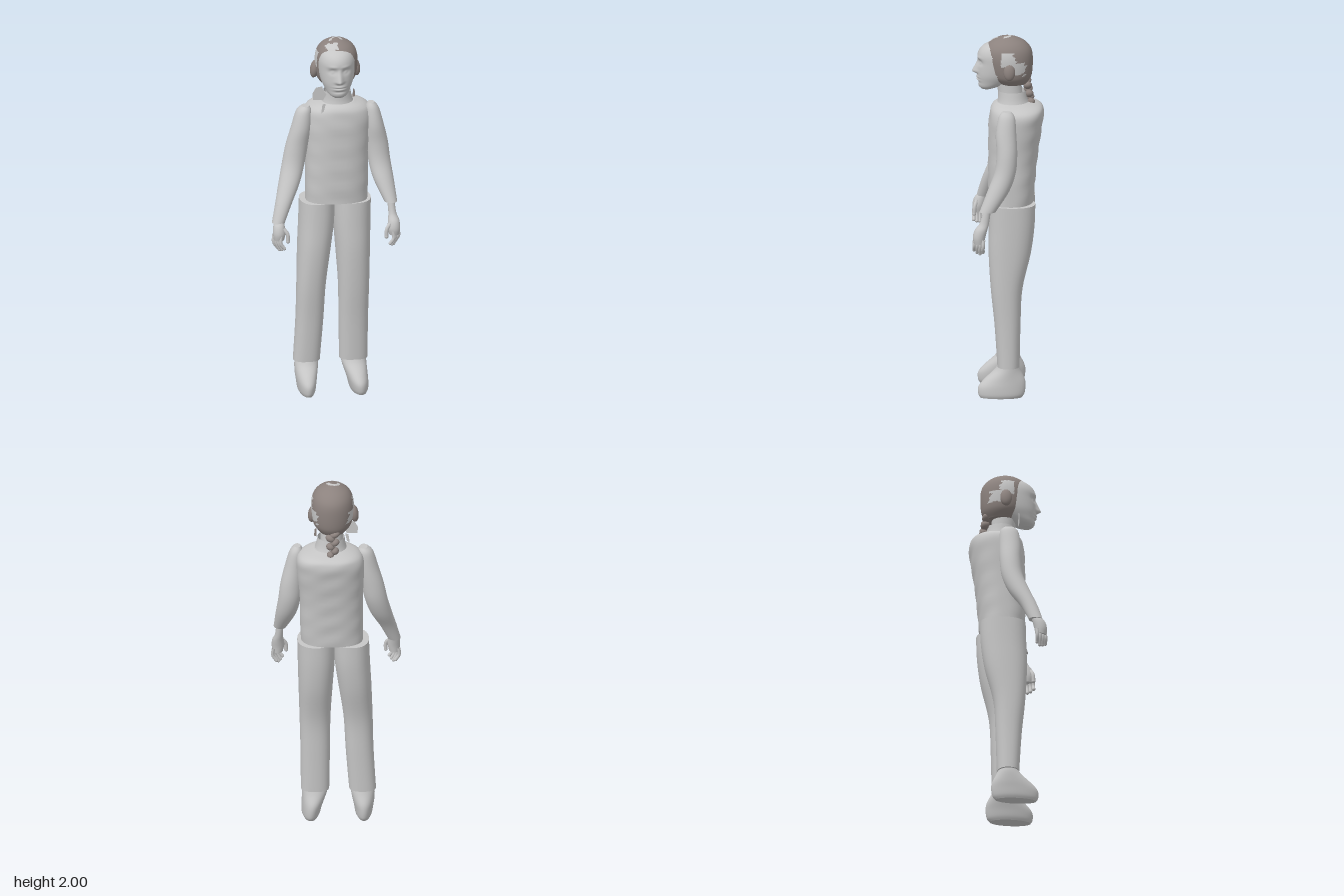
import * as THREE from 'three';

const grey = new THREE.MeshStandardMaterial({ color: 0xc6c6c6, side: THREE.DoubleSide });
grey.name = 'light grey';
const brown = new THREE.MeshStandardMaterial({ color: 0x8c827e, side: THREE.DoubleSide });
brown.name = 'hair brown';

const bell = (d, w) => Math.exp(-(d * d) / (w * w));

function spline(p0, p1, p2, p3, t) {
  const a = (p2 - p0) / 2, b = (p3 - p1) / 2, d = p1 - p2;
  return (2 * d + a + b) * t ** 3 + (-3 * d - 2 * a - b) * t * t + a * t + p1;
}

// Smooth skin through level sections [y, xMin, xMax, zFront, zBack], lowest first
function loft(sections, { n = 32, steps = 5, power = 2, caps = true, bend = null } = {}) {
  const rings = [], last = sections.length - 1;
  for (let i = 0; i < last; i++) {
    const q = [i - 1, i, i + 1, i + 2].map(k => sections[Math.min(last, Math.max(0, k))]);
    for (let s = 0; s < steps; s++)
      rings.push(q[0].map((_, c) => spline(q[0][c], q[1][c], q[2][c], q[3][c], s / steps)));
  }
  rings.push(sections[last]);
  const pos = [], index = [];
  const addRing = ([y, x0, x1, z0, z1]) => {
    for (let j = 0; j < n; j++) {
      const t = (j / n) * Math.PI * 2, c = Math.cos(t), s = Math.sin(t);
      const v = new THREE.Vector3(
        (x0 + x1) / 2 + (x1 - x0) / 2 * Math.sign(c) * Math.abs(c) ** (2 / power), y,
        (z0 + z1) / 2 + (z0 - z1) / 2 * Math.sign(s) * Math.abs(s) ** (2 / power));
      if (bend) bend(v);
      pos.push(v.x, v.y, v.z);
    }
  };
  rings.forEach(addRing);
  for (let i = 0; i < rings.length - 1; i++) for (let j = 0; j < n; j++) {
    const a = i * n + j, b = i * n + (j + 1) % n;
    index.push(a, a + n, b, b, a + n, b + n);
  }
  if (caps) [rings[0], rings[rings.length - 1]].forEach((r, top) => {
    const base = pos.length / 3;
    addRing(r);
    pos.push((r[1] + r[2]) / 2, r[0], (r[3] + r[4]) / 2);
    for (let j = 0; j < n; j++) {
      const a = base + j, b = base + (j + 1) % n;
      index.push(base + n, top ? b : a, top ? a : b);
    }
  });
  const g = new THREE.BufferGeometry();
  g.setAttribute('position', new THREE.Float32BufferAttribute(pos, 3));
  g.setIndex(index);
  g.computeVertexNormals();
  return g;
}

export function createModel() {
  const model = new THREE.Group();
  const add = (name, geo, mat = grey, parent = model) => {
    const m = new THREE.Mesh(geo, mat);
    m.name = name;
    parent.add(m);
    return m;
  };
  const ball = (name, mat, p, r, parent = model) => {
    const m = add(name, new THREE.SphereGeometry(1, 20, 14), mat, parent);
    m.position.set(...p);
    m.scale.set(...r);
    return m;
  };

  // Shirt body with faint folds, collar and neck
  add('shirt', loft([
    [1.08, -.145, .19, .1, -.14], [1.2, -.145, .195, .104, -.15], [1.35, -.145, .197, .104, -.165],
    [1.5, -.15, .212, .102, -.187], [1.58, -.145, .212, .095, -.195], [1.615, -.115, .18, .08, -.178],
    [1.635, -.055, .12, .055, -.11]],
  { n: 48, power: 2.4, bend: v => { v.z += .0025 * Math.sin(v.y * 55 + v.x * 14) * Math.sin(v.x * 18 + 1); } }));
  add('collar', loft([[1.61, -.065, .125, .062, -.125], [1.65, -.052, .11, .052, -.108],
    [1.695, -.045, .1, .05, -.1]], { caps: false }));
  add('neck', loft([[1.6, -.04, .095, .045, -.09], [1.68, -.036, .085, .05, -.08], [1.8, -.045, .085, .07, -.07]]));

  // Sleeves
  add('leftSleeve', loft([
    [1.09, .265, .335, .152, .065], [1.2, .215, .325, .108, -.01], [1.3, .192, .312, .07, -.045],
    [1.4, .183, .3, .06, -.052], [1.5, .178, .277, .064, -.047], [1.59, .178, .252, .05, -.04],
    [1.625, .19, .228, .03, -.02]]));
  add('rightSleeve', loft([
    [1.005, -.35, -.28, .165, .09], [1.1, -.327, -.237, .14, .05], [1.2, -.302, -.187, .105, -.01],
    [1.3, -.278, -.155, .07, -.045], [1.4, -.257, -.135, .06, -.055], [1.5, -.228, -.117, .062, -.055],
    [1.59, -.2, -.115, .05, -.05], [1.62, -.17, -.128, .03, -.03]]));

  // Hands: palm, four fingers and a thumb, mirrored
  for (const [name, side, shift] of [['leftHand', 1, 0], ['rightHand', -1, -.003]]) {
    const hand = new THREE.Group();
    hand.name = name;
    hand.scale.x = side;
    hand.position.x = shift;
    model.add(hand);
    add('palm', loft([
      [.915, .285, .34, .182, .125], [.95, .277, .345, .188, .12], [.99, .28, .342, .178, .11],
      [1.03, .285, .328, .15, .1], [1.1, .28, .32, .13, .09]], { n: 20 }), grey, hand);
    const finger = (n, pts, r) => {
      const curve = new THREE.CatmullRomCurve3(pts.map(p => new THREE.Vector3(...p)));
      add(n, new THREE.TubeGeometry(curve, 8, r, 8), grey, hand);
      ball(n + 'Tip', grey, pts[pts.length - 1], [r, r, r], hand);
    };
    for (let i = 0; i < 4; i++) {
      const x = .336 - i * .011, z = .13 + i * .016;
      finger('finger', [[x, .94, z], [x + .003, .9, z + .003], [x - .016, [.868, .858, .862, .872][i], z + .003]], .0095);
    }
    finger('thumb', [[.29, .98, .165], [.269, .95, .175], [.267, .91, .178]], .0105);
  }

  // Trousers and feet
  add('leftTrouserLeg', loft([
    [.17, .037, .19, .055, -.065], [.4, .033, .192, .07, -.07], [.6, .03, .197, .09, -.08],
    [.8, .018, .203, .102, -.125], [.95, .008, .207, .1, -.145], [1.08, .008, .21, .097, -.15]], { power: 2.3 }));
  add('rightTrouserLeg', loft([
    [.17, -.215, -.07, .055, -.065], [.4, -.202, -.052, .07, -.07], [.6, -.197, -.04, .09, -.08],
    [.8, -.19, -.012, .102, -.125], [.95, -.182, .008, .1, -.145], [1.08, -.177, .012, .097, -.15]], { power: 2.3 }));
  add('leftFoot', loft([
    [0, .095, .178, .148, -.075], [.02, .085, .186, .158, -.09], [.06, .075, .187, .157, -.097],
    [.1, .063, .185, .125, -.093], [.15, .048, .183, .07, -.07], [.19, .05, .18, .045, -.055]]));
  add('rightFoot', loft([
    [0, -.187, -.112, .148, -.075], [.02, -.196, -.102, .158, -.09], [.06, -.202, -.096, .157, -.097],
    [.1, -.207, -.088, .125, -.093], [.15, -.208, -.08, .07, -.07], [.19, -.2, -.085, .045, -.055]]));

  // Head with nose, eyes, brows, lips and chin raised from the skin
  add('head', loft([
    [1.702, -.012, .042, .14, .085], [1.718, -.037, .067, .155, .04], [1.75, -.057, .087, .16, -.02],
    [1.79, -.074, .104, .163, -.06], [1.85, -.084, .114, .16, -.09], [1.9, -.084, .114, .16, -.1],
    [1.94, -.07, .1, .134, -.09], [1.97, -.038, .068, .075, -.05], [1.985, 0, .03, .03, -.01]],
  { n: 96, steps: 10, bend: v => {
    if (v.z < .08) return;
    const dx = v.x - .015, ax = Math.abs(dx), y = v.y;
    const slope = y > 1.798 ? Math.max(0, 1 - (y - 1.798) / .07) : Math.max(0, 1 - (1.798 - y) / .014);
    v.z += .03 * slope * bell(dx, .012 + .008 * slope)
      - .013 * bell(ax - .036, .02) * bell(y - 1.855, .014)
      + .008 * bell(ax - .036, .011) * bell(y - 1.853, .008)
      + .004 * bell(ax - .035, .025) * bell(y - 1.882, .008)
      + .007 * bell(dx, .028) * (bell(y - 1.77, .006) + bell(y - 1.755, .006))
      - .005 * bell(dx, .03) * (bell(y - 1.7625, .003) + bell(y - 1.74, .006));
  } }));

  // Hair cap with a ragged hairline and bare patches
  const cap = loft([
    [1.735, -.05, .09, .05, -.105], [1.78, -.084, .124, .1, -.13], [1.86, -.096, .136, .124, -.137],
    [1.92, -.09, .13, .126, -.13], [1.96, -.068, .108, .1, -.102], [1.985, -.032, .072, .06, -.06],
    [2, .012, .028, .012, -.008]], { n: 112, steps: 12 });
  const p = cap.attributes.position, ids = cap.index.array, hairFaces = [], bareFaces = [];
  for (let i = 0; i < ids.length; i += 3) {
    const f = [ids[i], ids[i + 1], ids[i + 2]];
    const mid = get => f.reduce((s, k) => s + get.call(p, k), 0) / 3;
    const x = mid(p.getX), y = mid(p.getY), z = mid(p.getZ), dx = x - .015;
    const rag = .008 * Math.sin(y * 110 + x * 60) + .005 * Math.sin(y * 260 + x * 170);
    if (y + rag < 1.935 && z + rag > (y < 1.8 ? .06 : .09)) continue;
    const side = Math.abs(x - .02) > .06 &&
      ((y > 1.85 && y + rag < 1.93 && z + rag > -.04 && z < .035) ||
       (y + rag > 1.8 && y < 1.87 && z + rag > -.095 && z < 0));
    const r = Math.hypot(dx, z - .015);
    const crown = y > 1.95 && r > .021 && r < .037 && z < .02;
    const fringe = y > 1.9 && x + rag > -.045 && x + rag < .012 && z + rag > .045 && z < .12;
    (side || crown || fringe ? bareFaces : hairFaces).push(...f);
  }
  cap.setIndex([...hairFaces, ...bareFaces]);
  cap.addGroup(0, hairFaces.length, 0);
  cap.addGroup(hairFaces.length, bareFaces.length, 1);
  add('hair', cap, [brown, grey]);

  // Hair over the ears
  for (const s of [-1, 1]) {
    const lock = ball('sideLock', brown, [.015 + s * .112, 1.825, -.01], [.024, .05, .032]);
    lock.rotation.z = s * .15;
  }

  // Plait down the nape
  for (let i = 0; i < 6; i++) {
    const lobe = ball('plait', brown, [.02 + (i % 2 ? .012 : -.012), 1.745 - i * .023, -.105 - i * .004],
      [.03 - i * .002, .02, .024]);
    lobe.rotation.z = i % 2 ? .5 : -.5;
  }

  // Loose thin locks beside the neck
  const strand = (pts, z, mat) => {
    const shape = new THREE.Shape(pts.map(q => new THREE.Vector2(...q)));
    add('looseLock', new THREE.ShapeGeometry(shape), mat).position.z = z;
  };
  strand([[-.115, 1.67], [-.06, 1.668], [-.042, 1.7], [-.06, 1.72], [-.065, 1.745], [-.1, 1.74], [-.12, 1.705]], .06, grey);
  strand([[-.075, 1.6], [-.06, 1.61], [-.05, 1.655], [-.068, 1.65]], .085, grey);
  strand([[.105, 1.665], [.118, 1.67], [.116, 1.71], [.106, 1.715]], .03, brown);
  return model;
}
